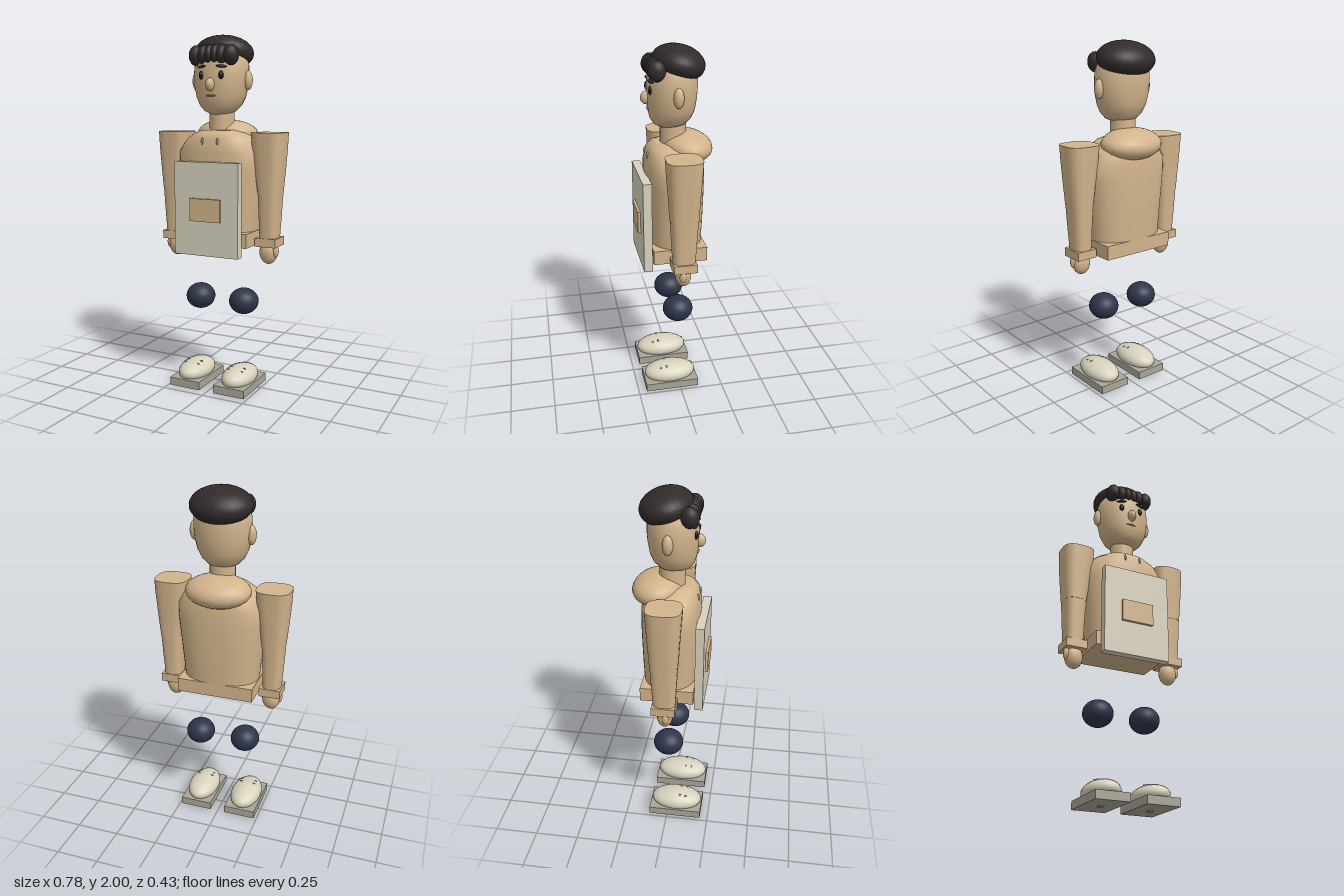
import * as THREE from 'three';

const paint = (name, color) => Object.assign(new THREE.MeshStandardMaterial({ color }), { name });

export function createModel() {
  const tan = paint('tan', 0xd2b48c);
  const cream = paint('cream', 0xd8d2be);
  const grey = paint('soleGrey', 0xa9a698);
  const black = paint('hairBlack', 0x322a2b);
  const navy = paint('navy', 0x2d3549);
  const eyeBlack = paint('eyeBlack', 0x17181a);
  const white = paint('white', 0xf4f2ee);
  const lip = paint('lip', 0xb88a6c);

  const model = new THREE.Group();
  model.name = 'figure';

  function add(name, geometry, material, x = 0, y = 0, z = 0) {
    const mesh = new THREE.Mesh(geometry, material);
    mesh.name = name;
    mesh.position.set(x, y, z);
    model.add(mesh);
    return mesh;
  }
  const box = (name, m, w, h, d, x, y, z) => add(name, new THREE.BoxGeometry(w, h, d), m, x, y, z);
  function ball(name, m, rx, ry, rz, x, y, z, seg = 24) {
    const g = new THREE.SphereGeometry(1, seg, Math.round(seg * 0.67)).scale(rx, ry, rz);
    return add(name, g, m, x, y, z);
  }

  // Superellipse rings [y, halfWidth, halfDepth, centreX, centreZ], bottom to top, with flat caps
  function loft(rings, power, seg = 36) {
    const pos = [], index = [];
    const ring = ([y, rx, rz, cx = 0, cz = 0]) => {
      for (let i = 0; i < seg; i++) {
        const a = (i / seg) * Math.PI * 2, c = Math.cos(a), s = Math.sin(a);
        pos.push(cx + rx * Math.sign(c) * Math.abs(c) ** (2 / power), y,
          cz + rz * Math.sign(s) * Math.abs(s) ** (2 / power));
      }
    };
    rings.forEach(ring);
    for (let r = 0; r < rings.length - 1; r++) {
      for (let i = 0; i < seg; i++) {
        const a = r * seg + i, b = r * seg + (i + 1) % seg;
        index.push(a, a + seg, b, b, a + seg, b + seg);
      }
    }
    for (const [r, up] of [[rings[0], false], [rings[rings.length - 1], true]]) {
      const start = pos.length / 3;
      ring(r);
      pos.push(r[3] || 0, r[0], r[4] || 0);
      for (let i = 0; i < seg; i++) {
        const a = start + i, b = start + (i + 1) % seg;
        index.push(start + seg, up ? b : a, up ? a : b);
      }
    }
    const g = new THREE.BufferGeometry();
    g.setAttribute('position', new THREE.Float32BufferAttribute(pos, 3));
    g.setIndex(index);
    g.computeVertexNormals();
    return g;
  }

  // Torso, hem and hood
  add('torso', loft([
    [0.87, 0.212, 0.148], [1.0, 0.222, 0.156], [1.15, 0.236, 0.16], [1.27, 0.248, 0.162],
    [1.36, 0.25, 0.16], [1.43, 0.2, 0.15], [1.465, 0.145, 0.13], [1.48, 0.1, 0.1],
  ], 2.4), tan);
  box('hem', tan, 0.44, 0.08, 0.3, 0, 0.882, 0);
  ball('hood', tan, 0.184, 0.085, 0.14, 0, 1.453, -0.077).rotation.x = -0.12;

  // Front panel with its patch
  box('frontPanel', cream, 0.39, 0.52, 0.048, 0, 1.05, 0.177);
  box('patch', tan, 0.186, 0.126, 0.02, 0, 1.047, 0.206);

  // Neck and head
  add('neck', new THREE.CylinderGeometry(0.07, 0.072, 0.16, 24), tan, 0, 1.53, 0);
  add('head', loft([
    [1.563, 0.02, 0.02, 0, 0.025], [1.568, 0.052, 0.055, 0, 0.022], [1.585, 0.088, 0.089, 0, 0.018],
    [1.615, 0.117, 0.112, 0, 0.014], [1.66, 0.139, 0.127, 0, 0.01], [1.72, 0.153, 0.135, 0, 0.008],
    [1.78, 0.158, 0.137, 0, 0.006], [1.84, 0.155, 0.134, 0, 0.004], [1.89, 0.138, 0.12, 0, 0],
    [1.93, 0.105, 0.09], [1.95, 0.05, 0.045],
  ], 2.05, 32), tan);
  ball('nose', tan, 0.025, 0.036, 0.033, 0, 1.727, 0.144, 16);
  ball('mouth', lip, 0.03, 0.006, 0.01, 0, 1.668, 0.135, 12);

  // Hair cap and fringe curls
  ball('hairCap', black, 0.17, 0.094, 0.144, 0, 1.905, -0.028, 28).rotation.x = -0.2;
  const curls = [[-0.105, 0.042], [-0.056, 0.036], [-0.018, 0.03], [0.018, 0.03], [0.056, 0.036], [0.105, 0.042]];
  for (const [x, r] of curls) {
    ball('curl', black, r, 0.056, 0.05, x, 1.888 - Math.abs(x) * 0.03, 0.103, 16);
  }

  for (const s of [-1, 1]) {
    // Face details
    ball('ear', tan, 0.026, 0.054, 0.028, s * 0.159, 1.752, 0, 16);
    ball('eye', eyeBlack, 0.014, 0.023, 0.012, s * 0.06, 1.777, 0.132, 16);
    ball('eyeGlint', white, 0.004, 0.005, 0.004, s * 0.06 + 0.004, 1.785, 0.142, 8);
    const brow = ball('eyebrow', black, 0.031, 0.008, 0.01, s * 0.06, 1.824, 0.129, 12);
    brow.rotation.set(0, s * 0.35, s * -0.08);
    ball('drawstring', grey, 0.006, 0.021, 0.009, s * 0.046, 1.42, 0.149, 10);

    // Arm, cuff and hand
    add('upperArm', loft([
      [1.135, 0.063, 0.077, s * 0.3], [1.25, 0.076, 0.083, s * 0.298],
      [1.38, 0.09, 0.092, s * 0.294], [1.47, 0.096, 0.097, s * 0.292],
    ], 3), tan);
    add('forearm', loft([
      [0.86, 0.049, 0.06, s * 0.297], [1.0, 0.056, 0.068, s * 0.299], [1.145, 0.063, 0.076, s * 0.3],
    ], 3), tan);
    box('cuff', tan, 0.122, 0.048, 0.13, s * 0.296, 0.866, 0);
    ball('hand', tan, 0.052, 0.066, 0.044, s * 0.292, 0.804, 0.003, 20);
    ball('thumb', tan, 0.018, 0.036, 0.02, s * 0.338, 0.815, 0.012, 12);

    // Knee
    ball('knee', navy, 0.085, 0.075, 0.087, s * 0.14, 0.505, 0);

    // Shoe with sole, laces and a small stud underneath
    box('sole', grey, 0.19, 0.046, 0.312, s * 0.14, 0.028, 0.049);
    ball('shoe', cream, 0.092, 0.062, 0.152, s * 0.14, 0.074, 0.05);
    add('soleStud', new THREE.CylinderGeometry(0.018, 0.018, 0.006, 16), grey, s * 0.14, 0.003, 0.049);
    for (const z of [0.075, 0.11]) {
      for (const dx of [-0.04, 0.04]) {
        ball('lace', grey, 0.012, 0.004, 0.006, s * 0.14 + dx, z < 0.1 ? 0.129 : 0.123, z, 8);
      }
    }
  }
  return model;
}
